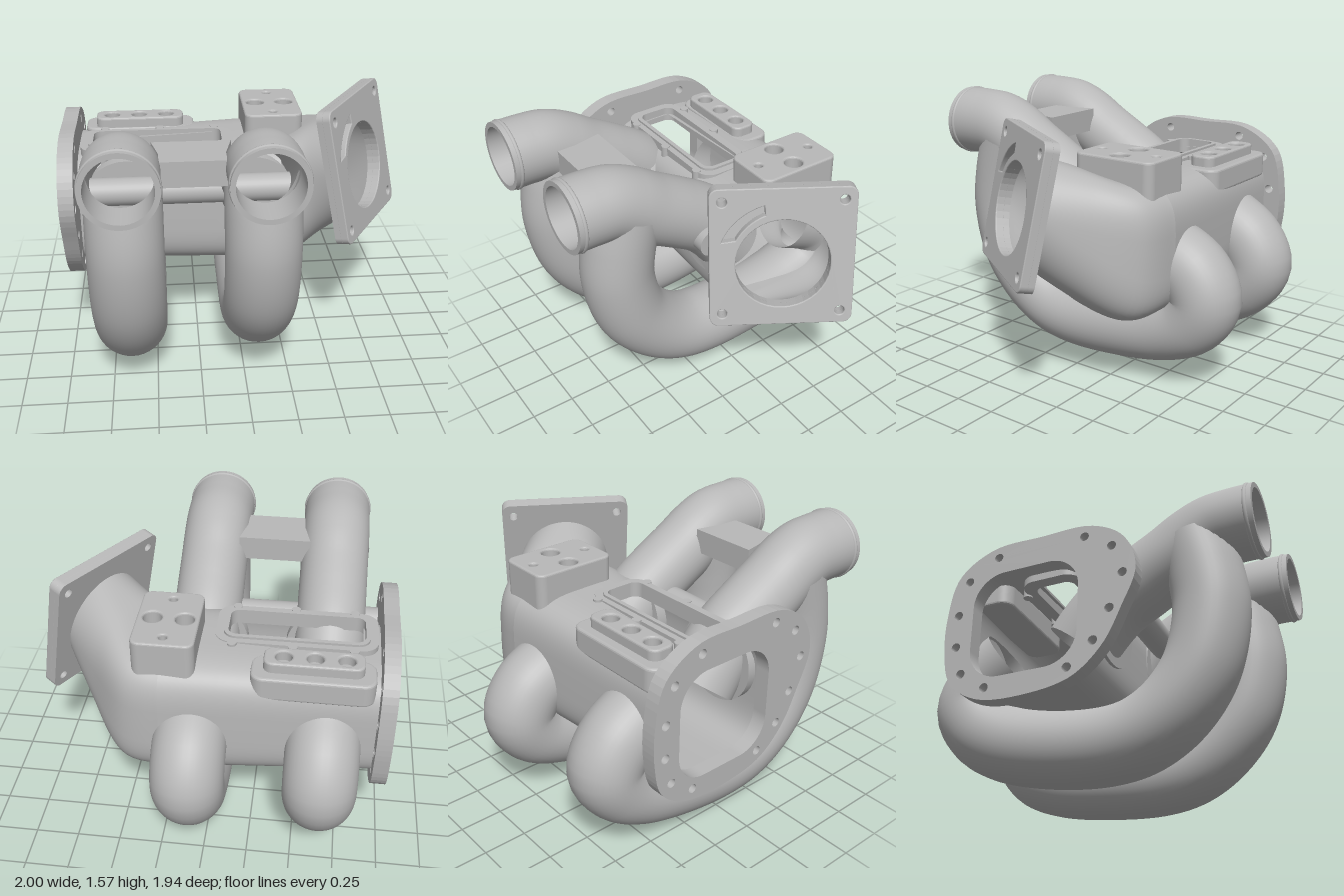
import * as THREE from 'three';

const metal = new THREE.MeshStandardMaterial({ color: 0xb8b8b8, side: THREE.DoubleSide });
metal.name = 'castMetal';

const V = (x, y, z) => new THREE.Vector3(x, y, z);
const { smoothstep } = THREE.MathUtils;

function add(parent, name, geo, x = 0, y = 0, z = 0) {
  const m = new THREE.Mesh(geo, metal);
  m.name = name;
  m.position.set(x, y, z);
  parent.add(m);
  return m;
}

// Rounded rectangle centred on cx, cy
function roundRect(w, h, r, cx = 0, cy = 0, P = THREE.Shape) {
  const s = new P(), a = w / 2 - r, b = h / 2 - r;
  s.absarc(cx + a, cy + b, r, 0, Math.PI / 2);
  s.absarc(cx - a, cy + b, r, Math.PI / 2, Math.PI);
  s.absarc(cx - a, cy - b, r, Math.PI, Math.PI * 1.5);
  s.absarc(cx + a, cy - b, r, Math.PI * 1.5, Math.PI * 2);
  s.closePath();
  return s;
}

const hole = (x, y, r) => new THREE.Path().absarc(x, y, r, 0, Math.PI * 2, true);

function plate(shape, depth, bevel = 0) {
  return new THREE.ExtrudeGeometry(shape, {
    depth: depth - 2 * bevel, curveSegments: 20, bevelEnabled: bevel > 0,
    bevelSize: bevel, bevelThickness: bevel, bevelOffset: -bevel, bevelSegments: 3,
  }).translate(0, 0, bevel);
}

// Skin over superelliptic rings [x, y, z, yaw, tilt, halfWidth, halfHeight, power]
const SEG = 72;
function loft(rings, skip = () => false) {
  const pos = [], idx = [];
  const sp = (v, p) => Math.sign(v) * Math.pow(Math.abs(v), 2 / p);
  rings.forEach(([x, y, z, yaw, tilt, hu, hv, p], i) => {
    const c = Math.cos(yaw), s = Math.sin(yaw), tc = Math.cos(tilt), ts = Math.sin(tilt);
    for (let j = 0; j < SEG; j++) {
      const t = (j / SEG) * Math.PI * 2;
      const u = hu * sp(Math.cos(t), p), v = hv * sp(Math.sin(t), p);
      pos.push(x - s * u - c * ts * v, y + tc * v, z + c * u - s * ts * v);
      if (i === 0 || skip(i - 1, j)) continue;
      const k = (j + 1) % SEG, a = (i - 1) * SEG, b = i * SEG;
      idx.push(a + j, a + k, b + j, a + k, b + k, b + j);
    }
  });
  const g = new THREE.BufferGeometry();
  g.setAttribute('position', new THREE.Float32BufferAttribute(pos, 3));
  g.setIndex(idx);
  g.computeVertexNormals();
  return g;
}

// Smooth in-between rings
function smoothRings(keys, n) {
  const curves = keys[0].map((_, k) => new THREE.SplineCurve(keys.map((r, i) => new THREE.Vector2(i, r[k]))));
  return Array.from({ length: n + 1 }, (_, i) => curves.map(c => c.getPoint(i / n).y));
}

const tube = (pts, r) => new THREE.TubeGeometry(
  new THREE.CatmullRomCurve3(pts.map(([z, y]) => V(0, y, z))), 90, r, 40);

// Loop pipe whose upper end is trimmed to the underside of the inlet
function loopPipe(drop, pull) {
  const g = tube([[0.6, 1.28], [0.655, 1.07], [0.675, 0.86], [0.61, 0.59], [0.47, 0.41],
    [0.3, 0.3], [0.12, 0.262], [-0.2, 0.275], [-0.5, 0.325], [-0.69, 0.41], [-0.77, 0.54],
    [-0.7, 0.68], [-0.5, 0.79]].map(([z, y]) => [
    z + pull * smoothstep(-z, 0.4, 0.75),
    y - drop * smoothstep(z, -0.8, 0.05) * smoothstep(-y, -0.9, -0.35)]), 0.205);
  const p = g.attributes.position;
  for (let i = 0; i < p.count; i++) {
    const x = p.getX(i), z = p.getZ(i);
    const axis = 1.36 - 0.55 * Math.max(0, 0.72 - z);
    if (z > 0.35) p.setY(i, Math.min(p.getY(i), axis - Math.sqrt(Math.max(0, 0.0361 - x * x))));
  }
  return g;
}

// Inlet pipe plus the loop that runs under and up into the back of the chamber
function makeRunner(x, drop, pull) {
  const g = new THREE.Group();
  g.name = 'runner';
  g.position.x = x;
  add(g, 'inletPipe', tube([[0.96, 1.36], [0.82, 1.36], [0.7, 1.35], [0.59, 1.305],
    [0.46, 1.225], [0.3, 1.135], [0.13, 1.03], [0.02, 0.92], [-0.07, 0.8]], 0.2));
  add(g, 'loopPipe', loopPipe(drop, pull));
  // hollow mouth with a rolled lip
  add(g, 'mouthLip', new THREE.TorusGeometry(0.195, 0.012, 10, 48), 0, 1.36, 0.93);
  add(g, 'mouthRim', new THREE.RingGeometry(0.172, 0.2, 48), 0, 1.36, 0.968);
  add(g, 'mouthEdge', new THREE.CylinderGeometry(0.2, 0.2, 0.02, 48, 1, true).rotateX(Math.PI / 2), 0, 1.36, 0.958);
  add(g, 'mouthBore', new THREE.CylinderGeometry(0.172, 0.172, 0.2, 48, 1, true).rotateX(Math.PI / 2), 0, 1.36, 0.868);
  // flared seat against the chamber
  add(g, 'runnerSeat', new THREE.CylinderGeometry(0.25, 0.25, 0.07, 40).rotateX(Math.PI / 2), 0, 0.92, 0.085);
  return g;
}

export function createModel() {
  const root = new THREE.Group();
  root.name = 'intakeManifold';

  // Pieces lying flat: shape y is -z
  const flat = (name, shape, y0, y1, bevel) =>
    add(root, name, plate(shape, y1 - y0, bevel).rotateX(-Math.PI / 2), 0, y0, 0);

  root.add(makeRunner(-0.64, 0.055, 0.05), makeRunner(0.085, 0, 0));
  flat('runnerBridge', new THREE.Shape([[-0.45, -0.71], [-0.106, -0.71], [-0.106, -0.6], [-0.068, -0.43],
    [-0.488, -0.43], [-0.45, -0.6]].map(p => new THREE.Vector2(...p))), 1.26, 1.4);
  add(root, 'fuelRail', new THREE.CylinderGeometry(0.08, 0.08, 1.24, 32).rotateZ(Math.PI / 2), -0.29, 1.025, 0.205);

  // Main chamber, open under the top frame
  const chamber = [-0.92, -0.82, -0.07, 0.25].map(x => {
    const k = (x + 0.92) / 1.17;
    return [x, 0.825, -0.25 - 0.025 * k, 0, 0, 0.35 + 0.05 * k, 0.335 + 0.04 * k, 4];
  });
  add(root, 'chamber', loft(chamber, (i, j) => i === 1 && j >= 14 && j < 18));

  // Elbow towards the throttle
  add(root, 'elbow', loft(smoothRings([
    chamber[3],
    [0.38, 0.835, -0.265, 0.26, 0.08, 0.37, 0.38, 3.8],
    [0.53, 0.95, -0.15, 0.47, 0.16, 0.3, 0.34, 2.7],
    [0.68, 1.07, 0.0, 0.56, 0.21, 0.27, 0.29, 2],
  ], 24)));

  // Throttle flange: plain back layer, front layer with a curved recess
  const flange = new THREE.Group();
  flange.name = 'throttleFlange';
  flange.position.set(0.738, 1.11, 0.05);
  flange.rotation.set(-0.21, 1.01, 0, 'YXZ');
  root.add(flange);
  const face = () => {
    const s = roundRect(0.765, 0.785, 0.05);
    s.holes.push(hole(0.005, -0.035, 0.252));
    for (const x of [-0.315, 0.315]) for (const y of [-0.32, 0.32]) s.holes.push(hole(x, y, 0.026));
    return s;
  };
  const front = face(), recess = new THREE.Path();
  recess.absarc(0, -0.035, 0.345, 1.85, 2.75, false);
  recess.absarc(0.02, -0.035, 0.3, 2.65, 1.95, true);
  recess.closePath();
  front.holes.push(recess);
  add(flange, 'flangeFront', plate(front, 0.05, 0.006), 0, 0, -0.05);
  add(flange, 'flangeBack', plate(face(), 0.035), 0, 0, -0.08);

  // End flange with bolt ring
  const outline = [[-0.7, 0.95], [-0.64, 1.18], [-0.44, 1.31], [-0.15, 1.32], [0.15, 1.31], [0.33, 1.2],
    [0.4, 1.0], [0.32, 0.78], [0.22, 0.59], [0.06, 0.45], [-0.18, 0.4], [-0.48, 0.42], [-0.65, 0.54], [-0.7, 0.73]];
  const ef = new THREE.Shape(new THREE.CatmullRomCurve3(outline.map(([z, y]) => V(-z, y, 0)), true)
    .getPoints(80).slice(0, -1).map(p => new THREE.Vector2(p.x, p.y)));
  ef.holes.push(roundRect(0.62, 0.62, 0.18, 0.23, 0.84, THREE.Path));
  outline.forEach(([z, y], i) => {
    if (i % 7 !== 3) ef.holes.push(hole(-(-0.17 + (z + 0.17) * 0.87), 0.86 + (y - 0.86) * 0.87, 0.026));
  });
  add(root, 'endFlange', plate(ef, 0.085).rotateY(Math.PI / 2), -1);

  // Stepped frame round the top opening
  const frame = (name, w, h, r, y0, y1) => {
    const s = roundRect(w, h, r, -0.455, 0.16);
    s.holes.push(roundRect(0.75, 0.23, 0.05, -0.455, 0.16, THREE.Path));
    flat(name, s, y0, y1);
  };
  frame('topFrame', 0.89, 0.35, 0.09, 1.12, 1.195);
  frame('topFrameStep', 0.8, 0.28, 0.07, 1.195, 1.208);
  for (const x of [-0.77, -0.44, -0.11]) for (const z of [-0.345, 0.01])
    add(root, 'frameBoss', new THREE.CylinderGeometry(0.026, 0.026, 0.09, 20), x, 1.155, z);

  // Injector block
  const ib = roundRect(0.53, 0.15, 0.05, -0.56, 0.485);
  for (const x of [-0.73, -0.565, -0.4]) ib.holes.push(hole(x, 0.485, 0.045));
  flat('injectorBlock', ib, 1.12, 1.24, 0.012);
  flat('injectorBase', roundRect(0.66, 0.22, 0.07, -0.56, 0.51), 1.04, 1.18, 0.015);

  // Sensor block
  const sb = roundRect(0.34, 0.5, 0.05, 0.23, 0.355);
  for (const [x, z, r] of [[0.14, 0.355, 0.052], [0.315, 0.355, 0.052], [0.23, 0.53, 0.022], [0.23, 0.175, 0.022]])
    sb.holes.push(hole(x, z, r));
  flat('sensorBlock', sb, 1.11, 1.34, 0.012);

  return root;
}
